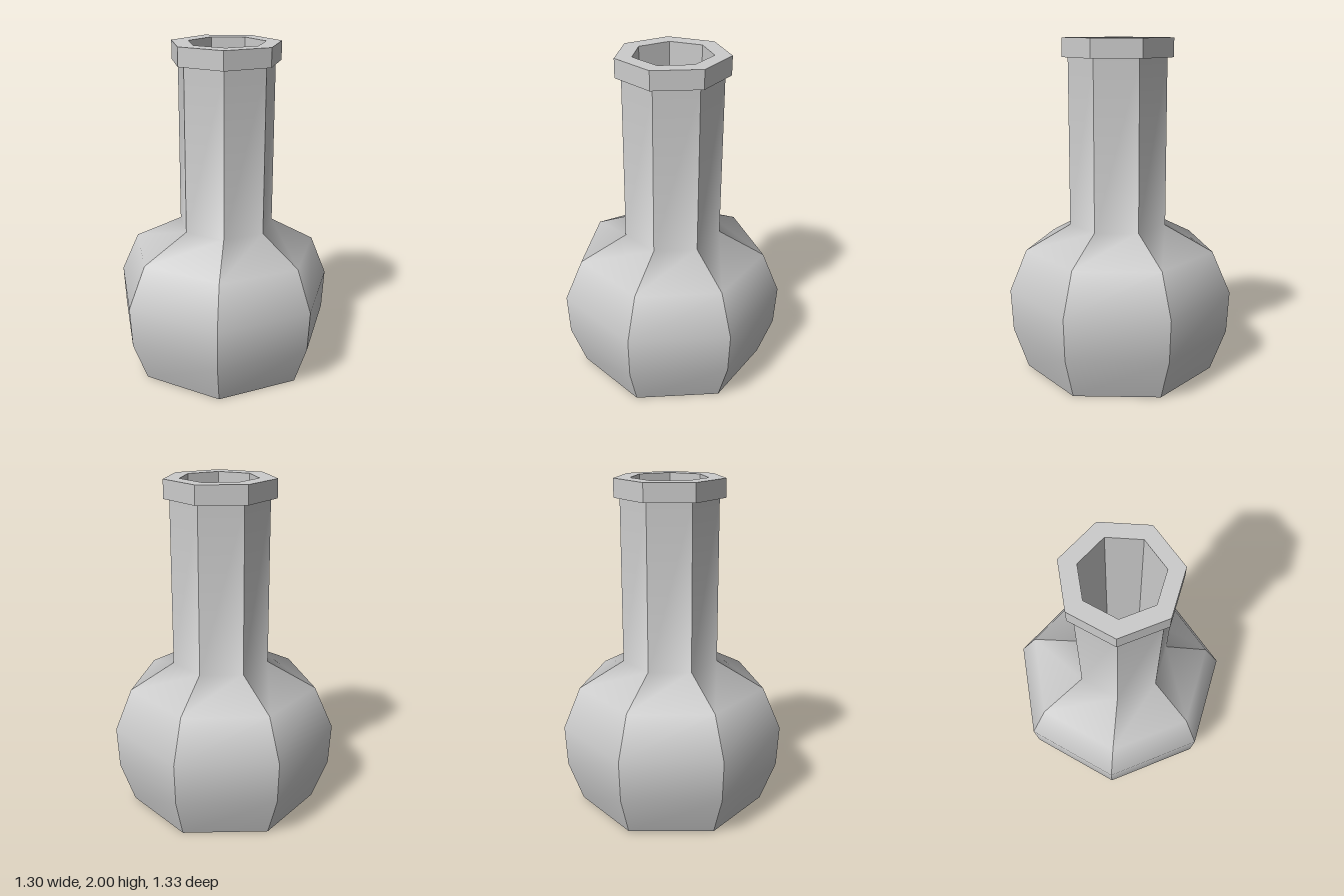
import * as THREE from 'three';
import { mergeGeometries } from 'three/addons/utils/BufferGeometryUtils.js';

const SIDES = 7;
const START = Math.PI * 1.0067; // one corner points almost exactly to -x

// Corner k of a heptagonal ring; narrow rings sit slightly off the wide ones
function corner(k, radius, y) {
  const a = START + (k * 2 * Math.PI) / SIDES;
  const shift = (0.68 - radius) * 0.036;
  return [0.029 + shift + radius * Math.cos(a), y, -0.006 + shift + radius * Math.sin(a)];
}

// Seven panels following a [radius, y] profile: smooth along the profile, sharp at the corners
function panels(profile) {
  const parts = [];
  for (let k = 0; k < SIDES; k++) {
    const positions = [];
    const index = [];
    profile.forEach(([r, y], i) => {
      positions.push(...corner(k, r, y), ...corner(k + 1, r, y));
      if (i === 0) return;
      const a = 2 * i - 2, b = a + 1, c = a + 2, d = a + 3;
      index.push(b, a, c, b, c, d);
    });
    const g = new THREE.BufferGeometry();
    g.setAttribute('position', new THREE.Float32BufferAttribute(positions, 3));
    g.setIndex(index);
    g.computeVertexNormals();
    parts.push(g);
  }
  return mergeGeometries(parts);
}

// Flat heptagonal disc; facing is +1 for up, -1 for down
function disc(radius, y, facing) {
  const positions = [];
  const index = [];
  for (let k = 0; k < SIDES; k++) positions.push(...corner(k, radius, y));
  for (let k = 1; k < SIDES - 1; k++) {
    index.push(...(facing > 0 ? [0, k + 1, k] : [0, k, k + 1]));
  }
  const g = new THREE.BufferGeometry();
  g.setAttribute('position', new THREE.Float32BufferAttribute(positions, 3));
  g.setIndex(index);
  g.computeVertexNormals();
  return g;
}

export function createModel() {
  const model = new THREE.Group();
  model.name = 'flask';
  const material = new THREE.MeshStandardMaterial({ color: 0xcccccc });
  const add = (name, geometry) => {
    const mesh = new THREE.Mesh(geometry, material);
    mesh.name = name;
    model.add(mesh);
  };

  // Rounded belly flowing into the straight neck
  add('bellyAndNeck', panels([
    [0.578, 0], [0.667, 0.25], [0.68, 0.5], [0.573, 0.75], [0.293, 0.9], [0.293, 1.89],
  ]));
  add('base', disc(0.578, 0, -1));

  // Lip: underside, outer band and top ring with crisp edges
  const lip = [[0.293, 1.89], [0.329, 1.89], [0.329, 2], [0.23, 2]];
  add('lip', mergeGeometries(lip.slice(1).map((p, i) => panels([lip[i], p]))));

  // Hollow inside of the neck
  add('neckInside', panels([[0.23, 2], [0.23, 0.9]]));
  add('neckFloor', disc(0.23, 0.9, 1));

  return model;
}
